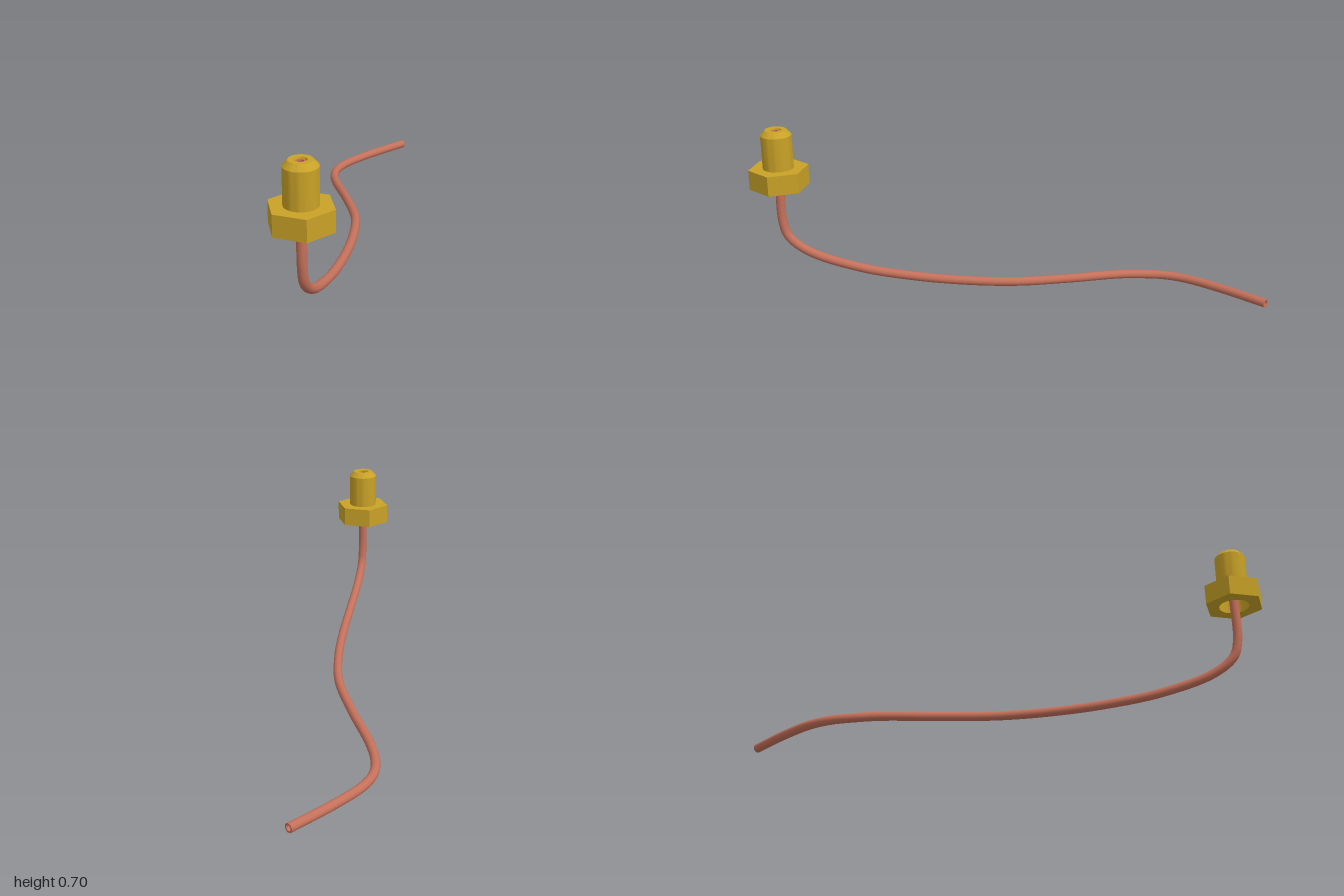
import * as THREE from 'three';
import { toCreasedNormals } from 'three/addons/utils/BufferGeometryUtils.js';

const brass = new THREE.MeshStandardMaterial({ color: 0xc9a227 });
const copper = new THREE.MeshStandardMaterial({ color: 0xc4705a });
const copperInside = new THREE.MeshStandardMaterial({ color: 0xc4705a, side: THREE.BackSide });

const FITTING_X = 0.163, FITTING_Z = 0.9;
const PIPE_R = 0.0175, BORE_R = 0.011;

function part(name, geometry, material) {
  const mesh = new THREE.Mesh(geometry, material);
  mesh.name = name;
  return mesh;
}

// Hexagonal nut with corners on the x axis and an open underside
function buildNut() {
  const hex = new THREE.Shape();
  for (let i = 0; i < 6; i++) {
    const a = (i * Math.PI) / 3;
    hex[i ? 'lineTo' : 'moveTo'](0.115 * Math.cos(a), 0.115 * Math.sin(a));
  }
  hex.closePath();
  const hole = new THREE.Path();
  hole.absarc(0, 0, 0.057, 0, Math.PI * 2, true);
  hex.holes.push(hole);
  const geo = new THREE.ExtrudeGeometry(hex, { depth: 0.078, bevelEnabled: false, curveSegments: 32 });
  geo.rotateX(-Math.PI / 2).translate(0, 0.465, 0);
  return part('hexNut', toCreasedNormals(geo, 0.5), brass);
}

// Round barrel with a chamfered nose and a bore for the pipe
function buildBarrel() {
  const profile = [
    [0.018, 0.53], [0.059, 0.53], [0.059, 0.675], [0.041, 0.695],
    [0.022, 0.695], [0.018, 0.683], [0.018, 0.53],
  ].map(([r, y]) => new THREE.Vector2(r, y));
  const geo = new THREE.LatheGeometry(profile, 48);
  return part('barrel', toCreasedNormals(geo, 0.5), brass);
}

// Hollow pipe: drops from the fitting, bends back and snakes to the rear
function buildPipe() {
  const path = new THREE.CatmullRomCurve3([
    [FITTING_X, 0.69, FITTING_Z], [FITTING_X, 0.5, FITTING_Z],
    [FITTING_X, 0.32, FITTING_Z], [0.162, 0.255, 0.88], [0.158, 0.195, 0.8],
    [0.143, 0.137, 0.6], [0.12, 0.108, 0.4], [0.084, 0.089, 0.2],
    [0.026, 0.074, 0], [-0.08, 0.056, -0.2], [-0.203, 0.036, -0.4],
    [-0.245, 0.025, -0.49], [-0.262, 0.02, -0.57], [-0.25, 0.0178, -0.66],
    [-0.187, 0.0175, -0.8], [-0.08, 0.0175, -0.985],
  ].map((p) => new THREE.Vector3(...p)));
  const pipe = new THREE.Group();
  pipe.name = 'pipe';
  pipe.add(part('pipeOuterWall', new THREE.TubeGeometry(path, 160, PIPE_R, 24), copper));
  pipe.add(part('pipeInnerWall', new THREE.TubeGeometry(path, 160, BORE_R, 16), copperInside));
  // Ring faces closing the wall at both ends
  for (const t of [0, 1]) {
    const rim = part(t ? 'rearRim' : 'topRim', new THREE.RingGeometry(BORE_R, PIPE_R, 24), copper);
    const outward = path.getTangentAt(t).multiplyScalar(t ? 1 : -1);
    rim.position.copy(path.getPointAt(t));
    rim.quaternion.setFromUnitVectors(new THREE.Vector3(0, 0, 1), outward);
    pipe.add(rim);
  }
  return pipe;
}

export function createModel() {
  const model = new THREE.Group();
  model.name = 'pipeWithFitting';
  const fitting = new THREE.Group();
  fitting.name = 'fitting';
  fitting.position.set(FITTING_X, 0, FITTING_Z);
  fitting.add(buildNut(), buildBarrel());
  model.add(fitting, buildPipe());
  return model;
}
